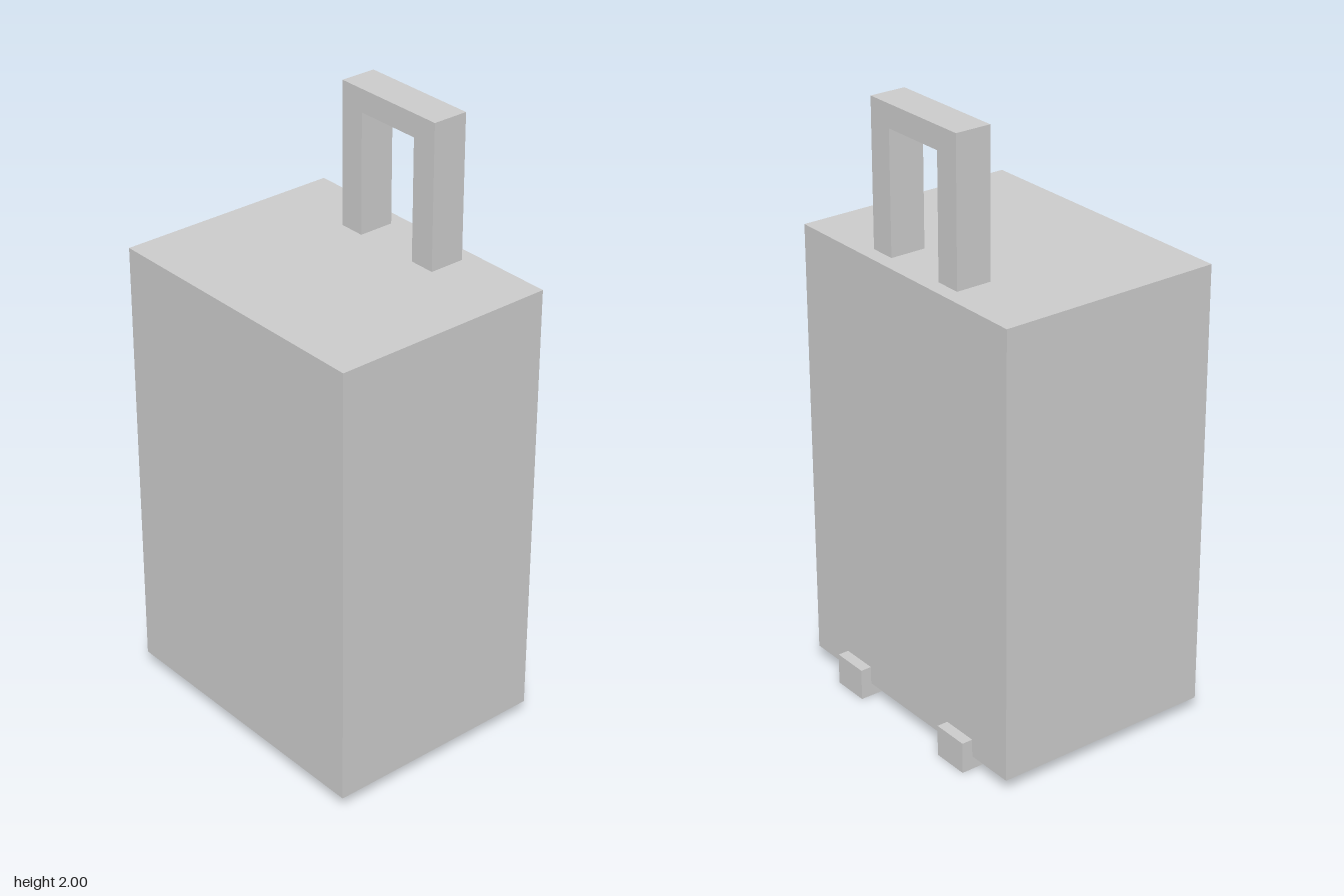
import * as THREE from 'three';

const material = new THREE.MeshStandardMaterial({ color: 0xcccccc, flatShading: true });

// Box given by its minimum and maximum corners
function box(name, [x0, y0, z0], [x1, y1, z1]) {
  const mesh = new THREE.Mesh(new THREE.BoxGeometry(x1 - x0, y1 - y0, z1 - z0), material);
  mesh.position.set((x0 + x1) / 2, (y0 + y1) / 2, (z0 + z1) / 2);
  mesh.name = name;
  return mesh;
}

// Upside-down U, extruded front to back
function createHandle() {
  const outer = 0.203, inner = 0.115, bottom = 1.525, top = 2, gap = 1.925;
  const shape = new THREE.Shape([
    [-outer, bottom], [-inner, bottom], [-inner, gap], [inner, gap],
    [inner, bottom], [outer, bottom], [outer, top], [-outer, top],
  ].map(([x, y]) => new THREE.Vector2(x, y)));
  const geometry = new THREE.ExtrudeGeometry(shape, { depth: 0.12, bevelEnabled: false });
  const handle = new THREE.Mesh(geometry, material);
  handle.position.z = -0.31;
  handle.name = 'handle';
  return handle;
}

export function createModel() {
  const suitcase = new THREE.Group();
  suitcase.name = 'suitcase';

  // Main case
  suitcase.add(box('body', [-0.495, 0.045, -0.36], [0.495, 1.525, 0.397]));

  // Pull handle near the back
  suitcase.add(createHandle());

  // Square wheels under the back edge
  suitcase.add(box('leftWheel', [0.202, 0, -0.397], [0.328, 0.105, -0.285]));
  suitcase.add(box('rightWheel', [-0.328, 0, -0.397], [-0.202, 0.105, -0.285]));

  return suitcase;
}
